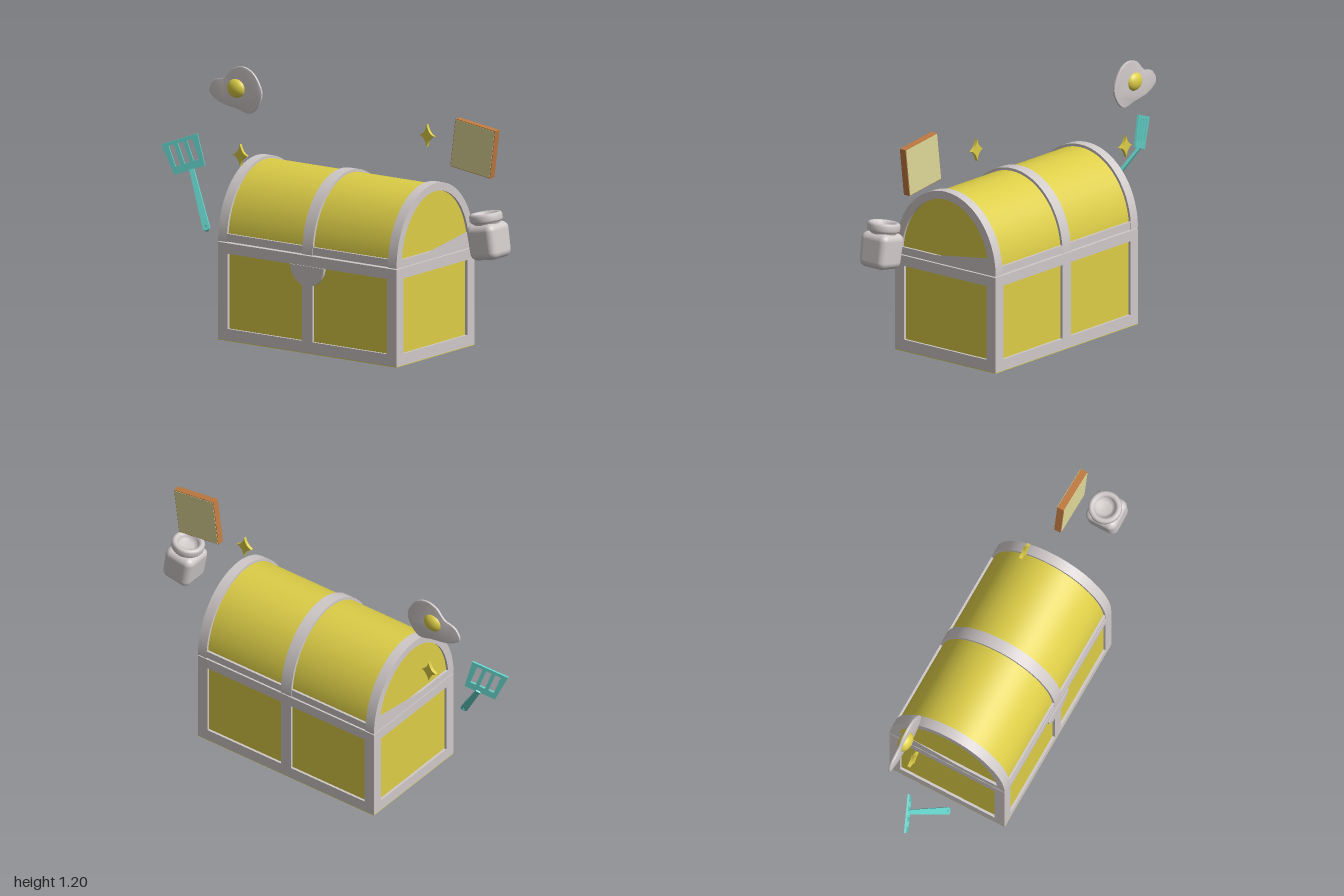
import * as THREE from 'three';
import { toCreasedNormals } from 'three/addons/utils/BufferGeometryUtils.js';
import { RoundedBoxGeometry } from 'three/addons/geometries/RoundedBoxGeometry.js';

const material = (name, color) => Object.assign(new THREE.MeshStandardMaterial({ color }), { name });

export function createModel() {
  const yellow = material('yellow', 0xdccd47);
  const grey = material('pale grey', 0xcfc9c8);
  const teal = material('teal', 0x62cfc6);
  const cream = material('cream', 0xdfd899);
  const brown = material('crust brown', 0xc07a40);

  const model = new THREE.Group();
  const add = (parent, name, geometry, mat, x = 0, y = 0, z = 0) => {
    const mesh = new THREE.Mesh(geometry, mat);
    mesh.name = name;
    mesh.position.set(x, y, z);
    parent.add(mesh);
    return mesh;
  };
  const group = (name, parent = model) => {
    const g = new THREE.Group();
    g.name = name;
    parent.add(g);
    return g;
  };
  const box = (w, h, d) => new THREE.BoxGeometry(w, h, d);
  const extrude = (shape, depth, options = {}) => toCreasedNormals(
    new THREE.ExtrudeGeometry(shape, { depth, bevelEnabled: false, curveSegments: 40, ...options })
      .translate(0, 0, -depth / 2), 0.5);
  const rect = (x0, y0, x1, y1, Type = THREE.Path) => new Type([
    [x0, y0], [x1, y0], [x1, y1], [x0, y1]].map(p => new THREE.Vector2(...p)));
  const framed = (x0, y0, x1, y1, holes) => {
    const shape = rect(x0, y0, x1, y1, THREE.Shape);
    shape.holes.push(...holes.map(h => rect(...h)));
    return shape;
  };

  // Chest base: inner box with a raised frame on each side
  const chest = group('chest');
  chest.position.x = 0.025;
  const base = group('chestBase', chest);
  add(base, 'basePanels', box(1.006, 0.462, 0.586), yellow, 0, 0.232, 0);
  add(base, 'baseUnderside', box(1.03, 0.003, 0.61), yellow, 0, 0.0015, 0);
  const longFrame = extrude(framed(-0.515, 0.003, 0.515, 0.465,
    [[-0.46, 0.057, -0.03, 0.415], [0.03, 0.057, 0.46, 0.415]]), 0.03);
  const endFrame = extrude(framed(-0.305, 0.003, 0.305, 0.465,
    [[-0.25, 0.057, 0.25, 0.415]]), 0.03);
  for (const s of [-1, 1]) {
    add(base, s > 0 ? 'frontFrame' : 'backFrame', longFrame, grey, 0, 0, s * 0.29);
    add(base, s > 0 ? 'leftFrame' : 'rightFrame', endFrame, grey, s * 0.5, 0, 0).rotation.y = Math.PI / 2;
  }

  // Half-disc latch
  const latch = new THREE.Shape();
  latch.absarc(0, 0, 0.096, Math.PI, Math.PI * 2, false);
  add(base, 'latch', extrude(latch, 0.02), grey, 0, 0.416, 0.299);

  // Arched lid with three bands and a lower rail
  const lid = group('chestLid', chest);
  lid.position.y = 0.47;
  const arch = (rx, ry, y0 = 0, Type = THREE.Shape) => {
    const a = Math.asin(y0 / ry);
    const path = new Type();
    path.absellipse(0, 0, rx, ry, a, Math.PI - a, false);
    path.closePath();
    return path;
  };
  const across = (name, shape, depth, mat, x) => {
    add(lid, name, extrude(shape, depth), mat, x, 0, 0).rotation.y = Math.PI / 2;
  };
  across('lidPanels', arch(0.293, 0.342), 1.006, yellow, 0);
  across('middleBand', arch(0.305, 0.355), 0.06, grey, 0);
  const endBand = arch(0.305, 0.355);
  endBand.holes.push(arch(0.265, 0.317, 0.036, THREE.Path));
  for (const s of [-1, 1]) {
    across(s > 0 ? 'leftBand' : 'rightBand', endBand, 0.05, grey, s * 0.49);
    add(lid, s > 0 ? 'frontRail' : 'backRail', box(1.028, 0.037, 0.03), grey, 0, 0.0205, s * 0.288);
  }

  // Fried egg
  const egg = group('friedEgg');
  egg.position.set(-0.69, 1.096, -0.113);
  const outline = new THREE.CatmullRomCurve3([
    [-0.157, -0.03], [-0.13, 0.022], [-0.068, 0.044], [-0.02, 0.092], [0.04, 0.107], [0.1, 0.08],
    [0.146, -0.006], [0.126, -0.069], [0.078, -0.111], [0.004, -0.097], [-0.104, -0.074],
  ].map(([x, y]) => new THREE.Vector3(x, y, 0)), true);
  const white = new THREE.Shape(outline.getPoints(60).slice(0, -1).map(p => new THREE.Vector2(p.x, p.y)));
  add(egg, 'eggWhite', extrude(white, 0.006, {
    bevelEnabled: true, bevelThickness: 0.003, bevelSize: 0.004, bevelOffset: -0.004, bevelSegments: 2 }), grey);
  add(egg, 'yolk', new THREE.SphereGeometry(0.05, 32, 20), yellow, 0, 0, 0.002).scale.set(1, 0.9, 0.64);

  // Four-pointed sparkles
  const star = new THREE.Shape();
  star.moveTo(0, 0.053);
  for (const [x, y] of [[-0.042, 0], [0, -0.053], [0.042, 0], [0, 0.053]]) {
    const p = star.currentPoint;
    star.quadraticCurveTo((p.x + x) * 0.2, (p.y + y) * 0.2, x, y);
  }
  const starGeometry = extrude(star, 0.015, { curveSegments: 8 });
  add(model, 'rightSparkle', starGeometry, yellow, -0.652, 0.786, -0.092);
  add(model, 'leftSparkle', starGeometry, yellow, 0.427, 1.021, -0.092);

  // Slice of bread: crust with a cream plate on each face
  const bread = group('bread');
  bread.position.set(0.75, 1.015, -0.025);
  bread.rotation.z = -0.13;
  add(bread, 'crust', box(0.232, 0.232, 0.034), brown);
  for (const s of [-1, 1]) add(bread, 'breadFace', box(0.226, 0.226, 0.003), cream, 0, 0, s * 0.0175);

  // Jar with a hollow rounded rim
  const jar = group('jar');
  jar.position.set(0.923, 0.531, 0.08);
  jar.rotation.z = 0.165;
  const body = new RoundedBoxGeometry(0.157, 0.168, 0.16, 5, 0.034);
  const pos = body.attributes.position;
  for (let i = 0; i < pos.count; i++) {
    const taper = 0.96 + 0.04 * Math.min(1, (pos.getY(i) + 0.084) / 0.11);
    pos.setX(i, pos.getX(i) * taper);
    pos.setZ(i, pos.getZ(i) * taper);
  }
  add(jar, 'jarBody', body, grey, 0, 0.084, 0);
  const rim = [[0.062, 0.155], [0.064, 0.172], [0.073, 0.175], [0.078, 0.183], [0.078, 0.205], [0.073, 0.214],
    [0.064, 0.217], [0.054, 0.213], [0.049, 0.203], [0.045, 0.188], [0.03, 0.182], [0, 0.181]];
  add(jar, 'jarRim', new THREE.LatheGeometry(rim.map(p => new THREE.Vector2(...p)), 40), grey);

  // Slotted spatula: a tilted head and a handle bent forward from it
  const spatula = group('spatula');
  const aim = (mesh, side, up) => {
    const v = up.clone().normalize();
    const u = side.clone().addScaledVector(v, -side.dot(v)).normalize();
    mesh.quaternion.setFromRotationMatrix(new THREE.Matrix4().makeBasis(u, v, u.clone().cross(v)));
  };
  const headShape = new THREE.Shape([[-0.077, -0.077], [0.077, -0.077], [0.091, 0.077], [-0.091, 0.077]]
    .map(p => new THREE.Vector2(...p)));
  for (const x of [-0.046, 0, 0.046]) headShape.holes.push(rect(x - 0.014, -0.042, x + 0.014, 0.06));
  const side = new THREE.Vector3(0.158, 0.069, -0.067);
  const head = add(spatula, 'spatulaHead', extrude(headShape, 0.01), teal, -0.897, 0.776, 0.015);
  aim(head, side, new THREE.Vector3(-0.049, 0.144, 0.015));

  const top = new THREE.Vector3(-0.869, 0.713, 0.0);
  const tip = new THREE.Vector3(-0.69, 0.458, 0.12);
  const length = top.distanceTo(tip);
  const grip = new THREE.Shape();
  grip.moveTo(-0.011, length / 2);
  grip.lineTo(-0.017, -length / 2 + 0.017);
  grip.absarc(0, -length / 2 + 0.017, 0.017, Math.PI, Math.PI * 2, false);
  grip.lineTo(0.011, length / 2);
  const hang = new THREE.Path();
  hang.absarc(0, -length / 2 + 0.02, 0.005, 0, Math.PI * 2, true);
  grip.holes.push(hang);
  const handle = add(spatula, 'spatulaHandle', extrude(grip, 0.014, { curveSegments: 12 }), teal);
  handle.position.copy(top).lerp(tip, 0.5);
  aim(handle, side, top.clone().sub(tip));

  return model;
}
